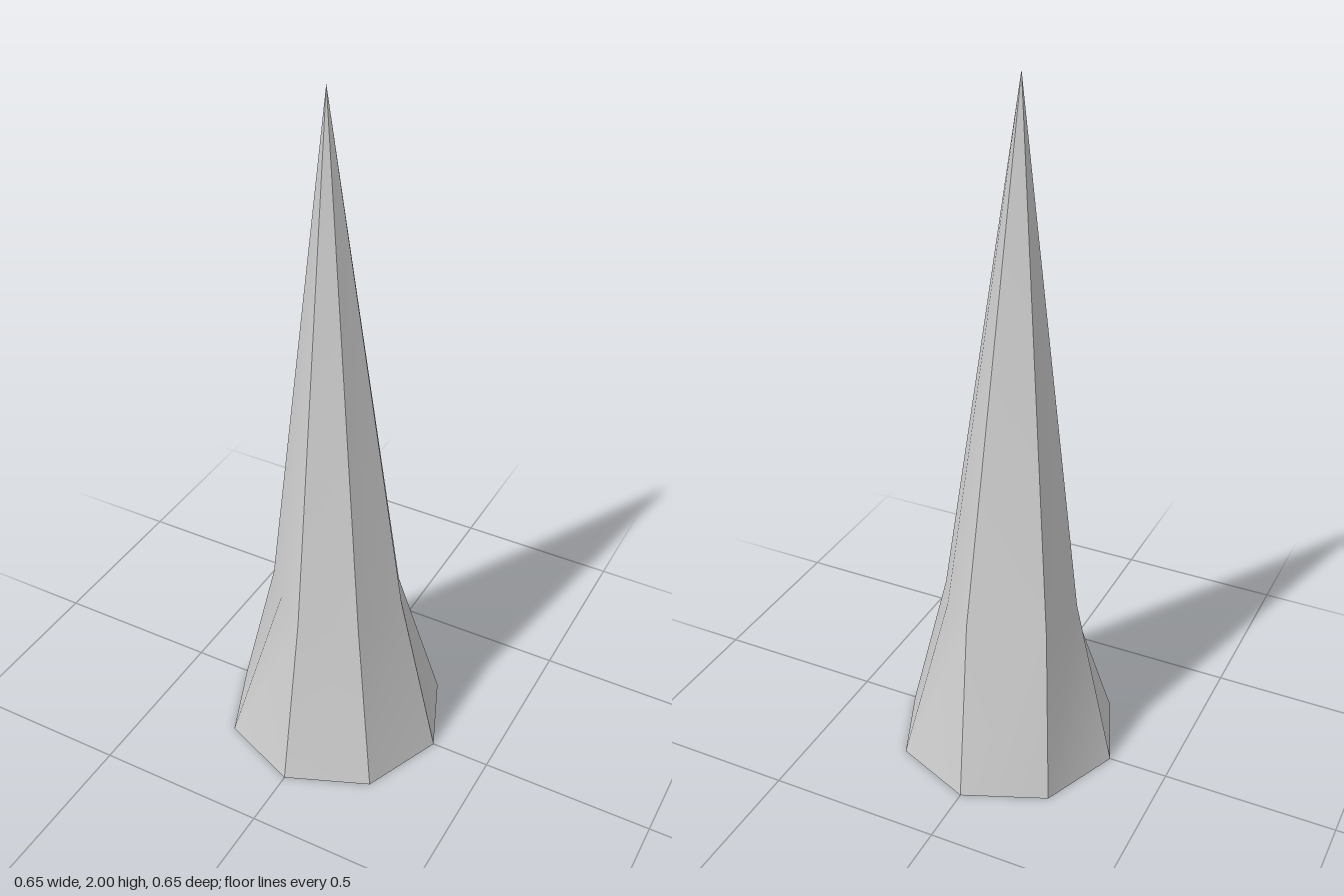
import * as THREE from 'three';
import { toCreasedNormals } from 'three/addons/utils/BufferGeometryUtils.js';

// Irregular middle ring [x, z], counted from the front (+z) towards +x
const MID = [
  [-0.018, 0.2], [0.14, 0.138], [0.195, -0.022], [0.14, -0.115],
  [0.04, -0.195], [-0.178, -0.14], [-0.195, 0.032], [-0.12, 0.115],
];
const SIDES = MID.length;
const HEIGHT = 2;
const MID_Y = 0.49;

export function createModel() {
  const group = new THREE.Group();
  group.name = 'spike';

  // Eight-sided cone with one ring between the base and the tip
  const cone = new THREE.ConeGeometry(0.327, HEIGHT, SIDES, 2);
  cone.translate(0, HEIGHT / 2, 0);

  // Shift the middle ring and lean the tip
  const pos = cone.attributes.position;
  for (let i = 0; i < pos.count; i++) {
    const y = pos.getY(i);
    if (y > HEIGHT - 0.01) {
      pos.setXYZ(i, -0.03, HEIGHT, 0);
    } else if (y > 0.5) {
      const angle = Math.atan2(pos.getX(i), pos.getZ(i));
      const k = (Math.round(angle / (2 * Math.PI / SIDES)) + SIDES) % SIDES;
      pos.setXYZ(i, MID[k][0], MID_Y, MID[k][1]);
    }
  }

  // Hard edges between facets, soft bend along each one
  cone.deleteAttribute('uv');
  const spike = new THREE.Mesh(
    toCreasedNormals(cone, Math.PI / 6),
    new THREE.MeshStandardMaterial({ color: 0xcccccc })
  );
  spike.name = 'spikeBody';
  group.add(spike);
  return group;
}
